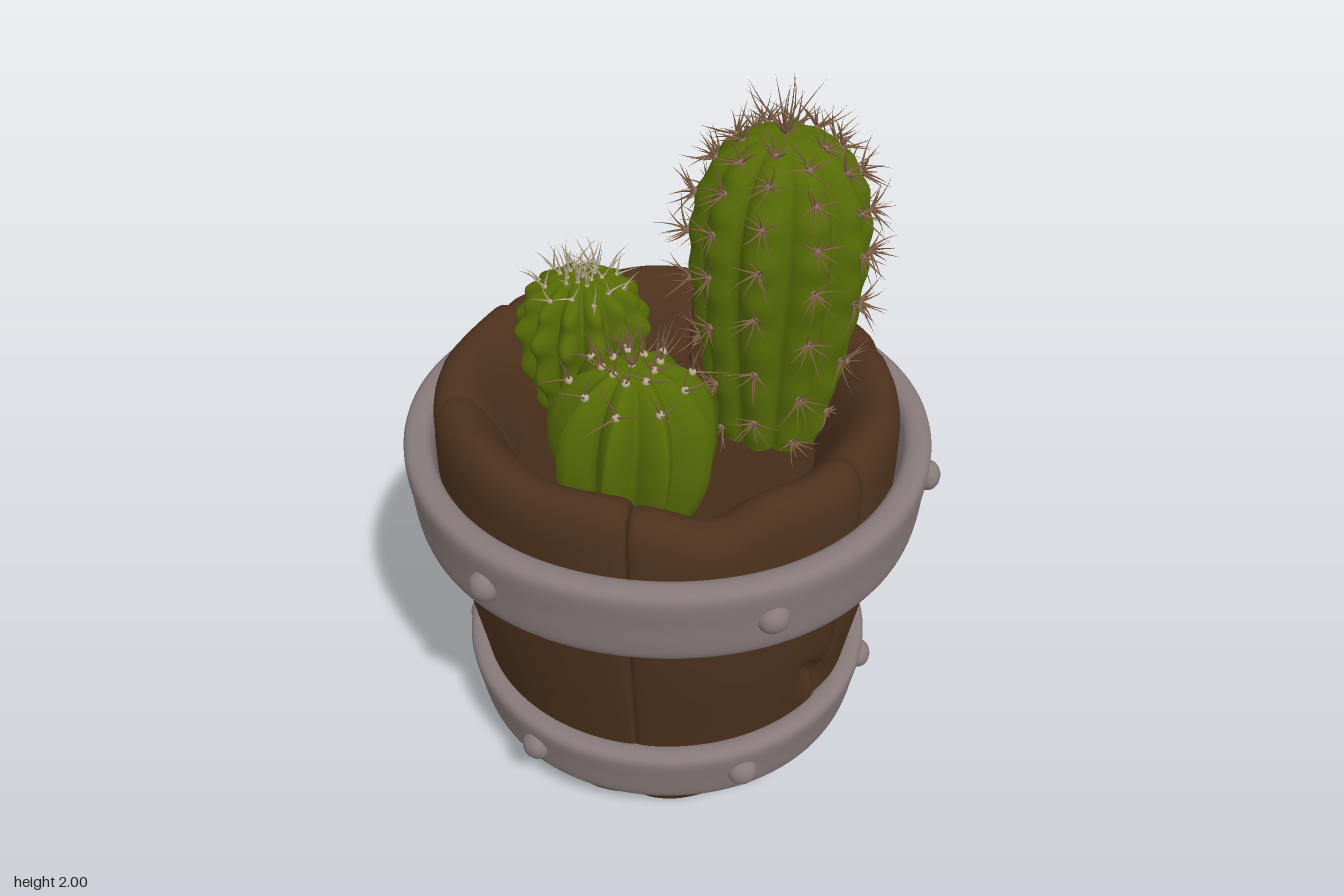
import * as THREE from 'three';
import { mergeVertices, mergeGeometries } from 'three/addons/utils/BufferGeometryUtils.js';
import { ParametricGeometry } from 'three/addons/geometries/ParametricGeometry.js';

const mat = (name, color) => {
  const m = new THREE.MeshStandardMaterial({ color });
  m.name = name;
  return m;
};
const rad = THREE.MathUtils.degToRad;
const polar = (r, y, a, out = new THREE.Vector3()) => out.set(r * Math.sin(a), y, r * Math.cos(a));
const bell = (d, w) => Math.exp(-(d * d) / (w * w));

let seed = 7;
const rand = (lo = 0, hi = 1) => {
  seed = (seed * 16807) % 2147483647;
  return lo + (hi - lo) * (seed / 2147483647);
};

// Welded smooth surface from f(u, v, target)
function surface(f, nu, nv) {
  const g = new ParametricGeometry(f, nu, nv);
  g.deleteAttribute('normal');
  g.deleteAttribute('uv');
  const welded = mergeVertices(g, 1e-5);
  welded.computeVertexNormals();
  return welded;
}

// Smooth closed or open profile of [radius, height] points
const profileCurve = (pts, closed) =>
  new THREE.CatmullRomCurve3(pts.map(([r, y]) => new THREE.Vector3(r, y, 0)), closed, 'centripetal');

// One tapered, bent spine
function spine(origin, dir, length, bend, width) {
  const g = new THREE.ConeGeometry(width, length, 4, 4, true).translate(0, length / 2, 0);
  const p = g.attributes.position;
  for (let i = 0; i < p.count; i++) p.setX(i, p.getX(i) + bend * length * (p.getY(i) / length) ** 2);
  g.applyQuaternion(new THREE.Quaternion().setFromUnitVectors(new THREE.Vector3(0, 1, 0), dir));
  g.translate(origin.x, origin.y, origin.z);
  g.computeVertexNormals();
  return g;
}

function createModel() {
  const model = new THREE.Group();
  const wood = mat('wood', 0x4d321d);
  const soilMat = mat('soil', 0x452c19);
  const metal = mat('metal', 0x877979);
  const green = mat('cactusGreen', 0x566a06);
  const spineMat = mat('spineBrown', 0x7f6046);
  const rootMat = mat('spineRoot', 0x8d6f66);
  const pale = mat('spinePale', 0xb8a890);

  const add = (parent, name, geometry, material) => {
    const mesh = new THREE.Mesh(geometry, material);
    mesh.name = name;
    parent.add(mesh);
    return mesh;
  };

  // Barrel staves: one closed section swept between two angles, edges eased inward
  const section = profileCurve([
    [0.46, 0.01], [0.495, 0.03], [0.515, 0.12], [0.555, 0.35], [0.6, 0.6], [0.628, 0.82], [0.638, 1.03],
    [0.628, 1.15], [0.59, 1.195], [0.54, 1.185], [0.49, 1.13], [0.45, 1.05], [0.41, 0.93],
    [0.4, 0.6], [0.38, 0.15], [0.385, 0.05], [0.41, 0.015],
  ], true).getSpacedPoints(90);
  const midRadius = (y) => THREE.MathUtils.lerp(0.445, 0.555, y / 1.15);
  const edgeAngle = [0, 0, 0.012, 0.03, 0.07];
  const edgeInset = [1, 0.18, 0.08, 0.03, 0];
  const steps = 44, last = edgeAngle.length - 1;
  const seams = [-95, -24, 37, 92, 156, 217, 265].map(rad);
  const heights = [0.0, -0.015, -0.015, 0, -0.01, 0.005];
  const barrel = new THREE.Group();
  barrel.name = 'barrel';
  model.add(barrel);
  for (let i = 0; i < 6; i++) {
    const a0 = seams[i], a1 = seams[i + 1];
    const stave = (u, v, target) => {
      const j = Math.round(u * steps), e = Math.min(j, steps - j);
      let a, k = 0;
      if (e <= last) {
        a = j <= last ? a0 + edgeAngle[e] : a1 - edgeAngle[e];
        k = edgeInset[e];
      } else {
        a = THREE.MathUtils.lerp(a0 + 0.07, a1 - 0.07, (j - last) / (steps - 2 * last));
      }
      const p = section[Math.round(v * 90)];
      const ym = THREE.MathUtils.clamp(p.y, 0.08, 1.1);
      let r = THREE.MathUtils.lerp(p.x, midRadius(ym), k);
      let y = THREE.MathUtils.lerp(p.y, ym, k);
      // Worn rim and foot
      const top = THREE.MathUtils.smoothstep(p.y, 1.0, 1.18);
      y += top * (heights[i] + 0.006 * Math.sin(9 * a) - 0.045 * bell(a + 0.05, 0.16));
      y += 0.008 * (1 - THREE.MathUtils.smoothstep(p.y, 0, 0.1)) * (1 + Math.sin(11 * a + i));
      // Chip and knot hole on the outer face
      if (p.x > midRadius(p.y)) {
        r -= 0.06 * bell(a - rad(32), 0.1) * bell(p.y - 0.43 + 0.5 * (a - rad(32)), 0.05);
        r -= 0.07 * bell(a - rad(247), 0.065) * bell(p.y - 0.45, 0.045);
      }
      polar(r, y, a, target);
    };
    add(barrel, 'stave' + (i + 1), surface(stave, steps, 90), wood);
  }

  // Soil on top and recessed floor below
  const soil = add(model, 'soil', new THREE.CircleGeometry(0.47, 48), soilMat);
  soil.rotation.x = -Math.PI / 2;
  soil.position.y = 0.95;
  const floor = add(barrel, 'floor', new THREE.CircleGeometry(0.44, 48), wood);
  floor.rotation.x = Math.PI / 2;
  floor.position.y = 0.1;

  // Metal hoops with six rivets each
  function hoop(name, y0, y1, r0, r1, t, wave) {
    const b = 0.014, g = new THREE.Group();
    g.name = name;
    model.add(g);
    const pts = profileCurve([
      [r0 - b, y0], [r0, y0 + b], [r0 + (r1 - r0) * 0.5 + 0.004, (y0 + y1) / 2], [r1, y1 - b], [r1 - b, y1],
      [r1 - t + b, y1], [r1 - t, y1 - b], [r0 - t, y0 + b], [r0 - t + b, y0],
    ], true).getSpacedPoints(48);
    const f = (u, v, target) => {
      const p = pts[Math.round(v * 48)], a = (u % 1) * Math.PI * 2;
      const outer = p.x > (r0 + r1 - t) / 2 ? 1 : 0;
      const dent = outer * 0.012 * bell(a - rad(222), 0.03);
      polar(p.x + wave * (Math.cos(2 * a) + 0.4 * Math.sin(5 * a)) - dent, p.y, a, target);
    };
    add(g, name + 'Band', surface(f, 128, 48), metal);
    for (let i = 0; i < 6; i++) {
      const a = rad(6 + i * 60);
      const rivet = add(g, name + 'Rivet', new THREE.SphereGeometry(0.043, 16, 12), metal);
      polar((r0 + r1) / 2 + 0.004, (y0 + y1) / 2, a, rivet.position);
      rivet.rotation.y = a;
      rivet.scale.z = 0.85;
    }
  }
  hoop('upperHoop', 0.818, 1.048, 0.712, 0.731, 0.072, 0.006);
  hoop('lowerHoop', 0.128, 0.32, 0.572, 0.6, 0.065, 0.002);

  // Ribbed cactus with spine clusters along the rib crests
  function cactus(o) {
    const g = new THREE.Group();
    g.name = o.name;
    g.position.set(o.x, 0, o.z);
    model.add(g);
    const curve = profileCurve(o.profile, false);
    const body = (u, v, target) => {
      const a = (u % 1) * Math.PI * 2, p = curve.getPoint(v);
      polar(Math.max(0, p.x) * o.rib(u * o.ribs, v), p.y, a + o.twist * v, target);
    };
    add(g, o.name + 'Body', surface(body, o.ribs * 10, o.rows), green);
    const spines = [], roots = [];
    const cluster = (origin, normal, count, length, spread) => {
      roots.push(new THREE.IcosahedronGeometry(o.root, 1).translate(origin.x, origin.y, origin.z));
      // Spines fan evenly around the normal
      const side = new THREE.Vector3(normal.z, 0, -normal.x);
      if (side.lengthSq() < 1e-4) side.set(1, 0, 0);
      side.normalize();
      const phase = rand(0, Math.PI);
      for (let k = 0; k < count; k++) {
        const d = side.clone().applyAxisAngle(normal, phase + (k * Math.PI * 2) / count + rand(-0.2, 0.2));
        d.multiplyScalar(spread * rand(0.4, 1.2)).add(normal).normalize();
        spines.push(spine(origin, d, length * rand(0.75, 1.2), rand(-0.4, 0.4), o.width));
      }
    };
    for (let i = 0; i < o.ribs; i++) {
      for (const level of o.levels) {
        const v = level + (i % 2) * o.stagger;
        const origin = new THREE.Vector3();
        body(i / o.ribs, v, origin);
        const t = curve.getTangent(v);
        const normal = polar(t.y, -t.x, (i / o.ribs) * Math.PI * 2 + o.twist * v).normalize();
        cluster(origin, normal, o.count, o.length, o.spread);
      }
    }
    // Crown tuft
    const crown = new THREE.Vector3(0, o.profile.at(-1)[1] - 0.005, 0);
    cluster(crown, new THREE.Vector3(0, 1, 0), o.crownCount, o.crown, 0.8);
    add(g, o.name + 'Spines', mergeGeometries(spines), o.spineMaterial);
    add(g, o.name + 'SpineRoots', mergeGeometries(roots), o.rootMaterial);
  }

  const lobe = (t) => Math.abs(Math.cos(Math.PI * t));
  const ridge = (t) => Math.abs((((t % 1) + 1) % 1) - 0.5) * 2;

  cactus({
    name: 'tallCactus', x: 0.32, z: -0.04, ribs: 10, rows: 64, twist: 0.12,
    profile: [[0.15, 0.9], [0.175, 1.02], [0.205, 1.2], [0.232, 1.4], [0.24, 1.55], [0.222, 1.68],
      [0.165, 1.785], [0.08, 1.835], [0, 1.84]],
    rib: (t, v) => 0.83 + 0.17 * lobe(t) ** 0.8 + 0.02 * lobe(t) * Math.cos(v * 60),
    levels: [0.1, 0.22, 0.34, 0.46, 0.57, 0.68, 0.78], stagger: 0.055,
    count: 8, length: 0.088, spread: 1.7, crown: 0.145, crownCount: 14,
    width: 0.004, root: 0.01, spineMaterial: spineMat, rootMaterial: rootMat,
  });
  cactus({
    name: 'roundCactus', x: -0.155, z: 0.245, ribs: 9, rows: 40, twist: 0.3,
    profile: [[0.1, 0.92], [0.165, 0.98], [0.212, 1.08], [0.225, 1.18], [0.208, 1.28], [0.15, 1.36],
      [0.07, 1.4], [0, 1.405]],
    rib: (t) => 0.64 + 0.36 * ridge(t),
    levels: [0.7, 0.85], stagger: 0.03,
    count: 3, length: 0.1, spread: 1.0, crown: 0.12, crownCount: 6,
    width: 0.0038, root: 0.011, spineMaterial: spineMat, rootMaterial: pale,
  });
  cactus({
    name: 'knobblyCactus', x: -0.18, z: -0.24, ribs: 12, rows: 64, twist: 0.1,
    profile: [[0.1, 0.9], [0.13, 0.98], [0.165, 1.08], [0.19, 1.2], [0.18, 1.29], [0.13, 1.36],
      [0.06, 1.39], [0, 1.385]],
    rib: (t, v) => 0.68 + 0.3 * lobe(t) + 0.055 * lobe(t) * Math.cos(v * 38),
    levels: [0.72, 0.86], stagger: 0.04,
    count: 2, length: 0.085, spread: 0.8, crown: 0.08, crownCount: 6,
    width: 0.0038, root: 0.007, spineMaterial: pale, rootMaterial: pale,
  });

  return model;
}

export { createModel };
